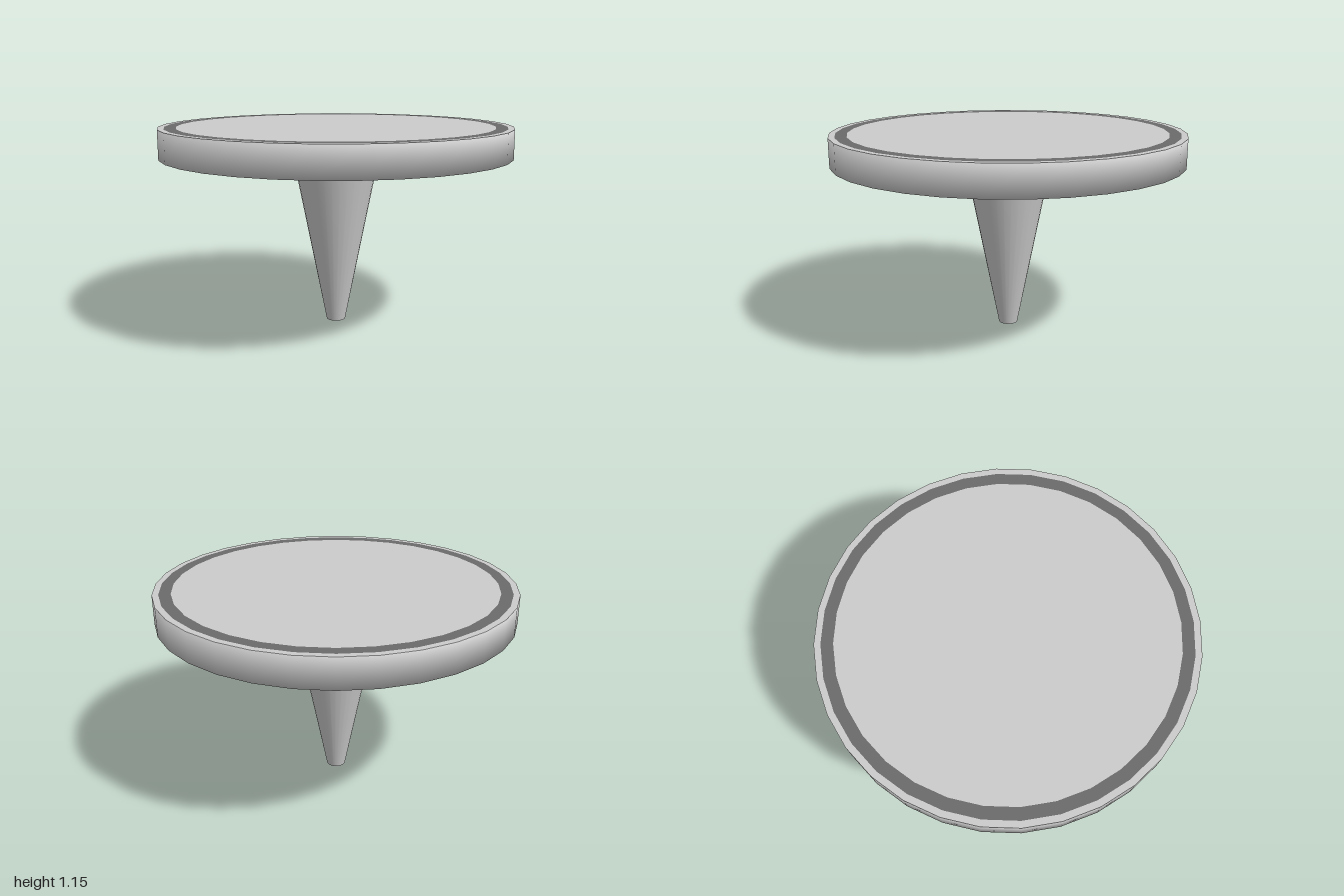
import * as THREE from 'three';

const SIDES = 32, BOTTOM = 0.99, TOP = 1.155;

const grey = new THREE.MeshStandardMaterial({ color: 0xcccccc });
const dark = new THREE.MeshStandardMaterial({ color: 0x6b6b6b });

function add(group, name, geometry, y, material = grey) {
  const mesh = new THREE.Mesh(geometry, material);
  mesh.name = name;
  mesh.position.y = y;
  group.add(mesh);
}

// Flat horizontal ring or disc, facing up or down
function flat(inner, outer, up = true) {
  const g = inner > 0
    ? new THREE.RingGeometry(inner, outer, SIDES)
    : new THREE.CircleGeometry(outer, SIDES);
  return g.rotateX(up ? -Math.PI / 2 : Math.PI / 2);
}

// Straight rim whose normals lean outward at both edges for soft shading
function softRim(height) {
  const g = new THREE.CylinderGeometry(1, 1, height, SIDES, 1, true);
  const p = g.attributes.position, n = g.attributes.normal;
  const v = new THREE.Vector3();
  for (let i = 0; i < p.count; i++) {
    v.set(p.getX(i), Math.sign(p.getY(i)), p.getZ(i)).normalize();
    n.setXYZ(i, v.x, v.y, v.z);
  }
  return g;
}

export function createModel() {
  const model = new THREE.Group();
  model.name = 'pedestalTable';

  // Round top with an inlaid dark band
  const top = new THREE.Group();
  top.name = 'tableTop';
  add(top, 'centrePanel', flat(0, 0.9), TOP);
  add(top, 'inlayBand', flat(0.9, 0.965), TOP, dark);
  add(top, 'outerLip', flat(0.965, 1), TOP);
  add(top, 'rim', softRim(TOP - BOTTOM), (TOP + BOTTOM) / 2);
  add(top, 'underside', flat(0, 1, false), BOTTOM);
  model.add(top);

  // Tapered pedestal, narrow at the floor
  add(model, 'pedestal', new THREE.CylinderGeometry(0.25, 0.055, BOTTOM, SIDES), BOTTOM / 2);

  return model;
}
